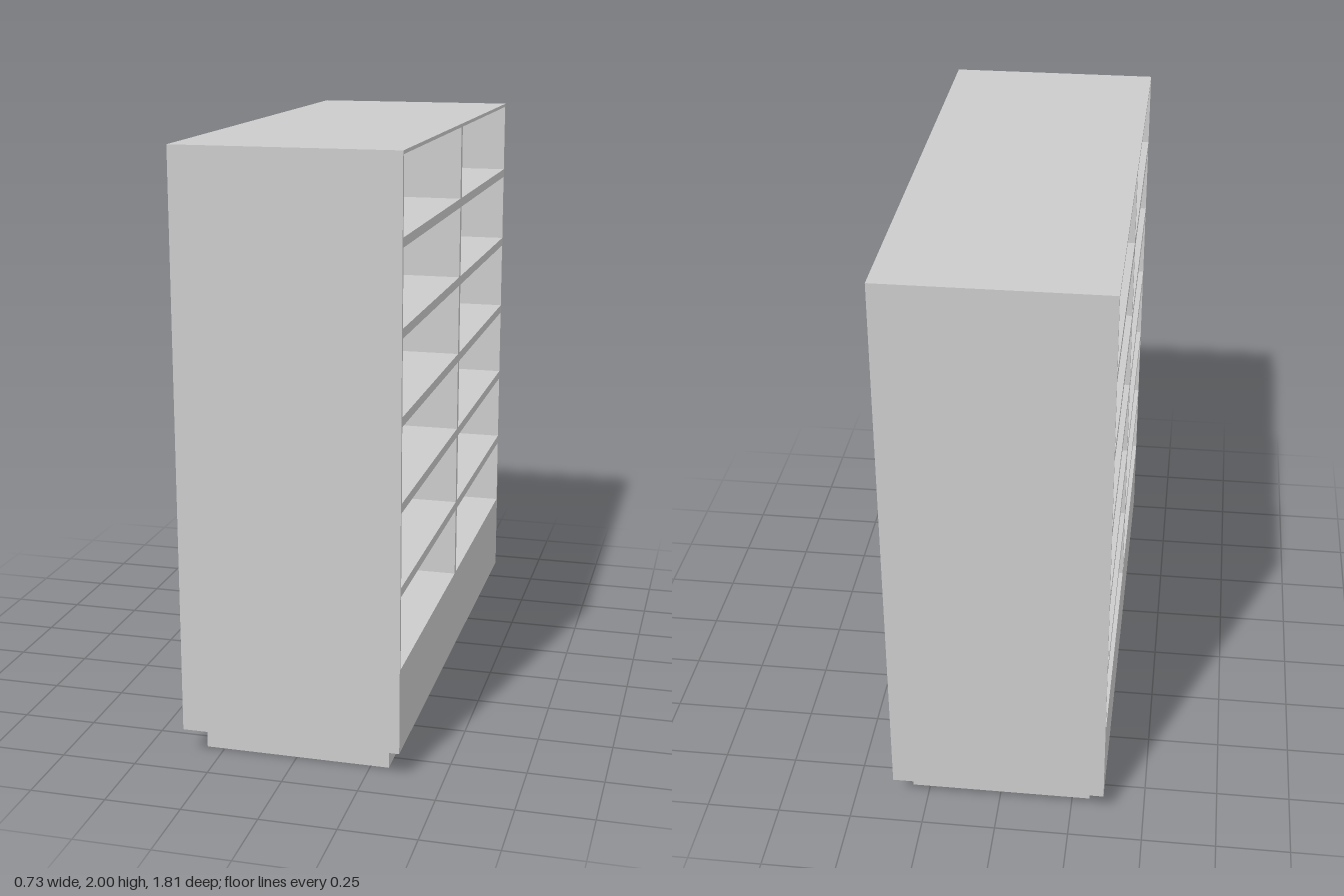
import * as THREE from 'three';

const DEPTH = 0.726;              // across x, open on both faces
const HALF_LENGTH = 0.907;        // along z
const PLINTH_H = 0.095, TOP = 2;
const ROWS = 6, FIRST_SHELF = 0.379, PITCH = 0.2733, CELL_H = 0.243;
const CELL_INNER = 0.012, CELL_OUTER = 0.895;
const CELL_DEPTH = 0.28;          // from each open face to the core

// Trace a rectangle on a Shape or Path
function rect(path, x0, y0, x1, y1) {
  path.moveTo(x0, y0);
  path.lineTo(x1, y0);
  path.lineTo(x1, y1);
  path.lineTo(x0, y1);
  path.closePath();
  return path;
}

export function createModel() {
  const group = new THREE.Group();
  group.name = 'doubleSidedShelfUnit';
  const material = new THREE.MeshStandardMaterial({ color: 0xcccccc, flatShading: true });

  const add = (name, geometry, y = 0) => {
    const mesh = new THREE.Mesh(geometry, material);
    mesh.name = name;
    mesh.position.y = y;
    group.add(mesh);
  };

  // Cabinet: ends, top, base, shelves and middle divider as one pierced block
  const outline = rect(new THREE.Shape(), -HALF_LENGTH, PLINTH_H, HALF_LENGTH, TOP);
  for (let row = 0; row < ROWS; row++) {
    const y = FIRST_SHELF + row * PITCH;
    outline.holes.push(
      rect(new THREE.Path(), -CELL_OUTER, y, -CELL_INNER, y + CELL_H),
      rect(new THREE.Path(), CELL_INNER, y, CELL_OUTER, y + CELL_H)
    );
  }
  const cabinet = new THREE.ExtrudeGeometry(outline, { depth: DEPTH, bevelEnabled: false });
  cabinet.translate(0, 0, -DEPTH / 2);
  cabinet.rotateY(Math.PI / 2);
  add('cabinet', cabinet);

  // Thick core that closes the cells of both open faces
  const coreH = TOP - 0.008 - FIRST_SHELF;
  add('core', new THREE.BoxGeometry(DEPTH - 2 * CELL_DEPTH, coreH, CELL_OUTER * 2 + 0.01), FIRST_SHELF + coreH / 2);

  // Recessed plinth
  add('plinth', new THREE.BoxGeometry(0.62, PLINTH_H, 1.648), PLINTH_H / 2);

  return group;
}
